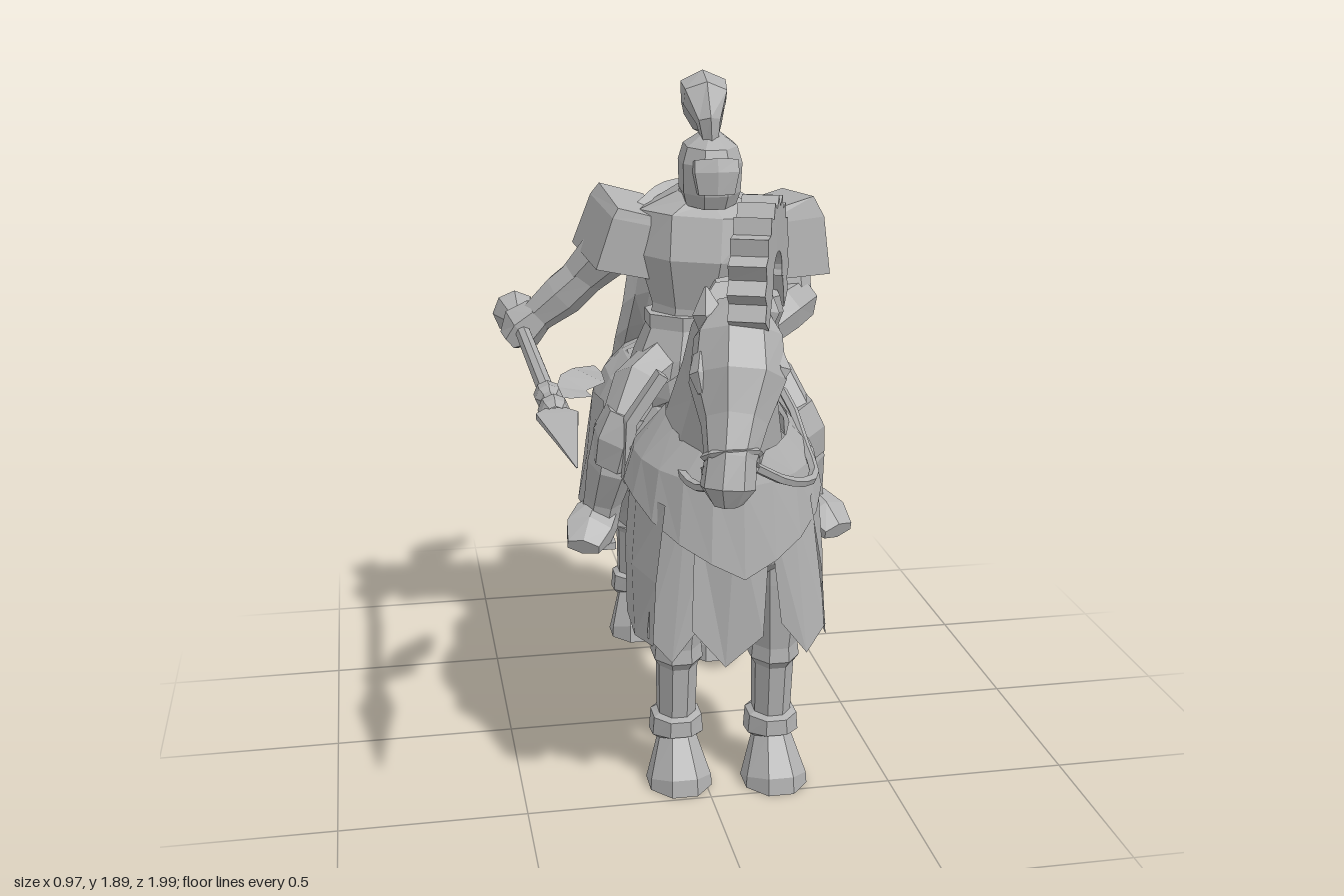
import * as THREE from 'three';

const steel = new THREE.MeshStandardMaterial({ color: 0xb2b2b2, side: THREE.DoubleSide });
steel.name = 'plain grey';
const V = (a) => new THREE.Vector3(a[0], a[1], a[2]);
const CX = 0.06; // the body axis sits slightly to the model's left

export function createModel() {
  const model = new THREE.Group();
  const horse = new THREE.Group(), rider = new THREE.Group(), spear = new THREE.Group();
  horse.name = 'horse'; rider.name = 'rider'; spear.name = 'spear';
  model.add(horse, rider, spear);

  // flat shaded mesh
  function add(parent, name, geo) {
    const g = geo.index ? geo.toNonIndexed() : geo;
    g.computeVertexNormals();
    const m = new THREE.Mesh(g, steel);
    m.name = name;
    parent.add(m);
    return m;
  }
  function indexed(pos, idx) {
    const g = new THREE.BufferGeometry();
    g.setAttribute('position', new THREE.Float32BufferAttribute(pos, 3));
    g.setIndex(idx);
    return g;
  }
  // closed faceted tube through [x, y, z, halfWidth, halfDepth]; width runs along "side"
  function loft(parent, name, pts, n = 8, side = [1, 0, 0]) {
    const pos = [], idx = [], k = 1 / Math.cos(Math.PI / n), last = pts.length - 1;
    pts.forEach((p, i) => {
      const t = V(pts[Math.min(i + 1, last)]).sub(V(pts[Math.max(i - 1, 0)])).normalize();
      const s = V(side).addScaledVector(t, -V(side).dot(t)).normalize();
      const u = t.clone().cross(s);
      for (let j = 0; j < n; j++) {
        const a = ((j + 0.5) / n) * Math.PI * 2;
        const q = V(p).addScaledVector(s, Math.cos(a) * p[3] * k).addScaledVector(u, Math.sin(a) * p[4] * k);
        pos.push(q.x, Math.max(0, q.y), q.z);
        const a0 = i * n + j, b0 = i * n + (j + 1) % n;
        if (i < last) idx.push(a0, b0, b0 + n, a0, b0 + n, a0 + n);
      }
    });
    for (let j = 1; j < n - 1; j++) idx.push(0, j + 1, j, last * n, last * n + j, last * n + j + 1);
    return add(parent, name, indexed(pos, idx));
  }
  // open cloth between rows of points
  function sheet(parent, name, rows) {
    const w = rows[0].length, idx = [];
    for (let r = 0; r < rows.length - 1; r++) for (let c = 0; c < w - 1; c++) {
      const a = r * w + c;
      idx.push(a, a + w, a + w + 1, a, a + w + 1, a + 1);
    }
    return add(parent, name, indexed(rows.flat(2), idx));
  }
  const tube = (parent, name, pts, r, seg = 14) =>
    add(parent, name, new THREE.TubeGeometry(new THREE.CatmullRomCurve3(pts.map(V)), seg, r, 5));
  const off = (s, rows) => rows.map((r) => r.map(([x, y, z]) => [CX + s * x, y, z]));

  // ---------- horse body, neck and head
  loft(horse, 'body', [
    [CX, 0.87, -0.67, 0.07, 0.08], [CX, 0.86, -0.6, 0.17, 0.17], [CX, 0.84, -0.45, 0.23, 0.22],
    [CX, 0.81, -0.25, 0.23, 0.235], [CX, 0.78, 0, 0.2, 0.225], [CX, 0.77, 0.2, 0.2, 0.22],
    [CX, 0.81, 0.4, 0.21, 0.23], [CX, 0.84, 0.52, 0.15, 0.18], [CX, 0.85, 0.58, 0.07, 0.1]], 10);
  loft(horse, 'neck', [
    [0.06, 0.9, 0.34, 0.17, 0.24], [0.05, 1.02, 0.39, 0.14, 0.2], [0.045, 1.18, 0.48, 0.11, 0.165],
    [0.035, 1.3, 0.56, 0.095, 0.14], [0.02, 1.38, 0.63, 0.07, 0.1]]);
  loft(horse, 'head', [
    [0.03, 1.41, 0.65, 0.055, 0.06], [0.02, 1.34, 0.69, 0.1, 0.105], [0.01, 1.24, 0.735, 0.11, 0.125],
    [-0.01, 1.15, 0.8, 0.075, 0.09], [-0.03, 1.08, 0.85, 0.058, 0.068], [-0.04, 1.02, 0.87, 0.062, 0.065],
    [-0.04, 0.98, 0.87, 0.035, 0.035]]);
  for (const s of [-1, 1]) {
    loft(horse, 'ear', [[0.02 + s * 0.055, 1.36, 0.67, 0.03, 0.025], [0.02 + s * 0.07, 1.4, 0.675, 0.032, 0.025],
      [0.02 + s * 0.075, 1.46, 0.67, 0.003, 0.003]], 5);
    loft(horse, 'brow', [[0.01 + s * 0.09, 1.31, 0.74, 0.015, 0.02], [0.01 + s * 0.1, 1.27, 0.77, 0.02, 0.025],
      [s * 0.085, 1.23, 0.79, 0.01, 0.01]], 5);
  }

  // serrated crest curling over the poll, running down as the mane
  const crest = [];
  for (let i = 0; i <= 26; i++) {
    const a = -0.5 + (i / 26) * 4.2, tooth = i % 2 ? 0.008 : -0.006;
    const z = 0.63 + (0.135 + tooth) * Math.cos(a);
    crest.push([0.02 + (0.8 - z) * 0.38, 1.475 + (0.118 + tooth) * Math.sin(a), z, 0.045, 0.06 + tooth]);
  }
  loft(horse, 'crest', crest, 4, [0.93, 0, 0.36]);
  const mane = [];
  for (let i = 0; i <= 6; i++) {
    const f = i / 6, tooth = i % 2 ? 0.01 : 0;
    mane.push([0.08 - 0.02 * f, 1.42 - 0.24 * f, 0.52 - 0.06 * f, 0.075 + tooth + 0.03 * f, 0.07 - 0.03 * f + tooth]);
  }
  loft(horse, 'mane', mane, 6);

  loft(horse, 'tail', [
    [0.06, 0.94, -0.58, 0.05, 0.05], [0.05, 0.93, -0.7, 0.065, 0.06], [0.035, 0.85, -0.8, 0.08, 0.08],
    [0.02, 0.7, -0.85, 0.08, 0.08], [-0.02, 0.52, -0.86, 0.075, 0.07], [-0.08, 0.41, -0.9, 0.055, 0.055],
    [-0.13, 0.365, -0.96, 0.035, 0.028], [-0.16, 0.37, -1.0, 0.004, 0.004]], 7);

  // ---------- horse legs with cuffed boots and hooves
  const shin = (x, z, dz) => [[x, 0.41, z, 0.062, 0.082], [x, 0.37, z, 0.066, 0.085], [x, 0.35, z, 0.053, 0.066],
    [x, 0.2, z - 0.01, 0.05, 0.058], [x, 0.19, z - 0.01, 0.066, 0.078], [x, 0.135, z - 0.01, 0.07, 0.08],
    [x, 0.12, z, 0.052, 0.06], [x, 0.02, z + dz, 0.083, 0.098], [x, 0, z + dz, 0.085, 0.1]];
  for (const [x, z] of [[0.19, 0.39], [-0.07, 0.355]])
    loft(horse, 'foreleg', [[x, 0.78, z - 0.02, 0.1, 0.15], [x, 0.6, z, 0.085, 0.11], ...shin(x, z, 0.035)]);
  for (const [x, z] of [[0.19, -0.5], [-0.025, -0.69]])
    loft(horse, 'hindLeg', [[x, 0.86, z + 0.2, 0.1, 0.16], [x, 0.66, z + 0.12, 0.1, 0.13],
      [x, 0.51, z + 0.075, 0.075, 0.08], ...shin(x, z, 0.045)]);

  // ---------- horse cloths
  const bib = [[], [], []];
  for (let i = 0; i <= 12; i++) {
    const a = ((i - 6) / 6) * 1.95, c = Math.cos(a), s = Math.sin(a), f = Math.max(0, 1 - Math.abs(a) / 1.4);
    bib[0].push([CX + 0.16 * s, 1.0 + 0.05 * (1 - c), 0.38 + 0.2 * c]);
    bib[1].push([CX + 0.24 * s, 0.95 - 0.03 * f, 0.33 + 0.27 * c]);
    bib[2].push([CX + 0.265 * s, 0.86 - 0.18 * f, 0.32 + 0.305 * c]);
  }
  sheet(horse, 'chestBib', bib);
  sheet(horse, 'chestPanel', off(1, [
    [[-0.12, 0.86, 0.57], [-0.02, 0.86, 0.6], [0.08, 0.86, 0.57]], [[-0.13, 0.53, 0.58], [-0.04, 0.42, 0.58], [0.06, 0.5, 0.58]]]));
  for (const s of [-1, 1]) {
    sheet(horse, 'shoulderPanel', off(s, [
      [[0.07, 0.86, 0.57], [0.14, 0.86, 0.55], [0.2, 0.86, 0.5]], [[0.11, 0.53, 0.57], [0.18, 0.44, 0.57], [0.24, 0.5, 0.53]]]));
    sheet(horse, 'foreSidePanel', off(s, [
      [[0.19, 0.86, 0.53], [0.245, 0.86, 0.4], [0.23, 0.87, 0.22]], [[0.22, 0.66, 0.56], [0.26, 0.66, 0.41], [0.25, 0.66, 0.23]],
      [[0.23, 0.49, 0.57], [0.255, 0.46, 0.42], [0.25, 0.46, 0.25]]]));
    sheet(horse, 'hindSidePanel', off(s, [
      [[0.24, 0.92, -0.24], [0.25, 0.9, -0.42], [0.2, 0.9, -0.62]], [[0.25, 0.72, -0.25], [0.27, 0.7, -0.42], [0.25, 0.68, -0.61]],
      [[0.255, 0.55, -0.27], [0.28, 0.52, -0.42], [0.28, 0.5, -0.58]]]));
  }
  sheet(horse, 'rumpCloth', [[-0.2, 0.82, 0.235, 0.23], [-0.33, 0.83, 0.255, 0.235], [-0.47, 0.84, 0.25, 0.22],
    [-0.6, 0.86, 0.2, 0.18], [-0.67, 0.87, 0.11, 0.1]].map(([z, y, w, h]) =>
    Array.from({ length: 11 }, (_, i) => {
      const a = ((i - 5) / 5) * 1.6;
      return [CX + w * Math.sin(a), y + h * Math.cos(a), z];
    })));

  // ---------- saddle, girth and reins
  loft(horse, 'saddleBlanket', [[CX, 0.83, -0.2, 0.235, 0.205], [CX, 0.85, 0, 0.225, 0.17], [CX, 0.85, 0.2, 0.225, 0.165]], 10);
  loft(horse, 'saddle', [[CX, 1.06, -0.27, 0.12, 0.06], [CX, 1.0, -0.2, 0.16, 0.07], [CX, 0.99, 0.03, 0.16, 0.06],
    [CX, 1.05, 0.14, 0.11, 0.07], [CX, 1.11, 0.17, 0.05, 0.03]]);
  for (const s of [-1, 1])
    loft(horse, 'girthStrap', [[CX + s * 0.13, 1.1, 0.14, 0.015, 0.025], [CX + s * 0.22, 0.97, 0.14, 0.015, 0.028],
      [CX + s * 0.23, 0.8, 0.14, 0.012, 0.028]], 4);
  for (const [s, w] of [[-1, 0.15], [1, 0.2]])
    tube(horse, 'rein', [[-0.03 + s * 0.06, 1.06, 0.85], [0.03 + s * w * 0.55, 0.98, 0.74], [0.06 + s * w * 0.9, 0.94, 0.6],
      [0.06 + s * w, 0.97, 0.42], [0.07 + s * w * 0.8, 1.08, 0.28], [0.09, 1.17, 0.2]], 0.013);
  const band = add(horse, 'noseband', new THREE.TorusGeometry(0.068, 0.009, 4, 10));
  band.position.set(-0.025, 1.09, 0.843);
  band.rotation.x = 1.1;

  // ---------- rider torso, head and plume
  loft(rider, 'armourSkirt', [[0.07, 1.22, -0.11, 0.12, 0.1], [0.07, 1.1, -0.11, 0.17, 0.14], [0.07, 0.98, -0.11, 0.21, 0.15]]);
  loft(rider, 'torso', [[0.07, 1.16, -0.11, 0.125, 0.1], [0.075, 1.24, -0.11, 0.125, 0.1], [0.08, 1.38, -0.1, 0.17, 0.13],
    [0.085, 1.5, -0.11, 0.17, 0.11], [0.09, 1.56, -0.1, 0.07, 0.07], [0.095, 1.6, -0.08, 0.055, 0.06]], 8, [0.96, 0, 0.28]);
  loft(rider, 'belt', [[0.07, 1.18, -0.11, 0.14, 0.115], [0.07, 1.22, -0.11, 0.14, 0.115]], 8);
  loft(rider, 'helmet', [[0.1, 1.535, -0.07, 0.07, 0.08], [0.1, 1.57, -0.065, 0.08, 0.095], [0.1, 1.65, -0.06, 0.083, 0.1],
    [0.1, 1.695, -0.06, 0.07, 0.085], [0.1, 1.725, -0.055, 0.03, 0.04]]);
  loft(rider, 'visor', [[0.1, 1.66, 0.015, 0.06, 0.03], [0.1, 1.63, 0.025, 0.062, 0.03], [0.1, 1.57, 0.025, 0.05, 0.025]], 6);
  loft(rider, 'plume', [[0.095, 1.7, -0.035, 0.02, 0.025], [0.09, 1.76, -0.035, 0.03, 0.035], [0.09, 1.82, -0.08, 0.058, 0.045],
    [0.1, 1.83, -0.16, 0.063, 0.05], [0.115, 1.785, -0.24, 0.058, 0.045], [0.135, 1.73, -0.29, 0.042, 0.035],
    [0.16, 1.695, -0.35, 0.025, 0.018], [0.175, 1.69, -0.4, 0.004, 0.004]], 6);

  // cape with folds, falling over the rump
  sheet(rider, 'cape', [[1.57, -0.17, 0.09], [1.53, -0.26, 0.16], [1.38, -0.32, 0.175], [1.22, -0.4, 0.185],
    [1.1, -0.49, 0.195], [1.0, -0.61, 0.19]].map(([y, z, w], r) =>
    Array.from({ length: 9 }, (_, i) => {
      const f = (i - 4) / 4;
      return [0.075 + w * f, y - 0.03 * f * f, z + 0.08 * f * f + (i % 2 ? -0.006 * r : 0)];
    })));
  tube(rider, 'capeRoll', [[-0.08, 1.49, -0.18], [0, 1.54, -0.22], [0.09, 1.55, -0.21], [0.18, 1.53, -0.17], [0.24, 1.49, -0.12]], 0.03);

  // ---------- rider arms and shoulder plates
  loft(rider, 'leftPauldron', [[0.275, 1.535, -0.045, 0.105, 0.08], [0.285, 1.495, -0.045, 0.115, 0.095], [0.288, 1.34, -0.045, 0.125, 0.108]], 4, [0.2, 0, 1]);
  loft(rider, 'rightPauldron', [[-0.105, 1.525, -0.17, 0.1, 0.07], [-0.115, 1.495, -0.175, 0.11, 0.08], [-0.155, 1.35, -0.19, 0.12, 0.09]], 4, [0.2, 0, 1]);
  loft(rider, 'leftUpperArm', [[0.26, 1.47, -0.06, 0.07, 0.07], [0.31, 1.34, -0.03, 0.07, 0.065], [0.32, 1.24, 0.01, 0.055, 0.055]], 7, [0, 0, 1]);
  loft(rider, 'leftForearm', [[0.34, 1.26, -0.01, 0.06, 0.06], [0.27, 1.25, 0.08, 0.065, 0.065], [0.18, 1.2, 0.15, 0.05, 0.05], [0.13, 1.18, 0.18, 0.04, 0.04]], 7, [0, 1, 0]);
  loft(rider, 'leftHand', [[0.14, 1.18, 0.17, 0.045, 0.045], [0.1, 1.17, 0.2, 0.05, 0.05], [0.06, 1.16, 0.22, 0.03, 0.03]], 6, [0, 1, 0]);
  loft(rider, 'rightUpperArm', [[-0.08, 1.47, -0.18, 0.07, 0.07], [-0.18, 1.36, -0.23, 0.07, 0.07], [-0.25, 1.28, -0.27, 0.055, 0.055]], 7, [0, 0, 1]);
  loft(rider, 'rightForearm', [[-0.22, 1.31, -0.25, 0.055, 0.055], [-0.29, 1.24, -0.28, 0.06, 0.06], [-0.37, 1.17, -0.3, 0.045, 0.045]], 7, [0, 0, 1]);
  loft(rider, 'rightHand', [[-0.36, 1.18, -0.3, 0.05, 0.045], [-0.41, 1.135, -0.31, 0.06, 0.06], [-0.45, 1.1, -0.31, 0.045, 0.03]], 6, [0, 0, 1]);

  // ---------- rider legs
  for (const s of [-1, 1]) {
    const leg = (name, pts, n, side) => loft(rider, name, pts.map(([x, ...r]) => [0.08 + s * x, ...r]), n, side);
    leg('thigh', [[0.1, 1.05, -0.1, 0.11, 0.08], [0.19, 1.01, -0.02, 0.1, 0.075], [0.24, 0.92, 0.04, 0.08, 0.065]], 7, [0, 0.7, 0.7]);
    leg('kneePlate', [[0.235, 0.97, 0.05, 0.055, 0.07], [0.26, 0.9, 0.05, 0.065, 0.08], [0.275, 0.83, 0.035, 0.055, 0.075]], 6);
    leg('shin', [[0.255, 0.92, 0.02, 0.06, 0.075], [0.275, 0.81, 0.01, 0.062, 0.09], [0.295, 0.7, -0.02, 0.05, 0.065], [0.305, 0.63, -0.03, 0.05, 0.06]], 7);
    leg('foot', [[0.29, 0.635, -0.1, 0.045, 0.045], [0.31, 0.64, -0.03, 0.06, 0.055], [0.345, 0.62, 0.04, 0.065, 0.045], [0.37, 0.595, 0.1, 0.045, 0.022]], 6);
    leg('stirrup', [[0.27, 0.575, 0.02, 0.035, 0.01], [0.36, 0.575, 0.02, 0.035, 0.01]], 4, [0, 0, 1]);
  }

  // ---------- spear: one turned profile from the mace head to the socket, then a blade and a torn pennant
  const profile = [[0, -0.62], [0.02, -0.59], [0.022, -0.56], [0.068, -0.53], [0.064, -0.51], [0.036, -0.43], [0.044, -0.41],
    [0.038, -0.38], [0.023, -0.37], [0.023, 0.36], [0.036, 0.38], [0.036, 0.42], [0.024, 0.44], [0.026, 0.5], [0.04, 0.52],
    [0.036, 0.55], [0.022, 0.57]].map(([r, y]) => new THREE.Vector2(r, y));
  const shaft = add(spear, 'shaft', new THREE.LatheGeometry(profile, 8));
  shaft.rotation.x = Math.PI / 2;
  loft(spear, 'spearBlade', [[0, 0, 0.56, 0.025, 0.015], [0, 0, 0.6, 0.052, 0.015], [0, 0, 0.8, 0.026, 0.01], [0, 0, 0.99, 0.002, 0.002]], 4);
  sheet(spear, 'pennant', [
    [[0.02, 0, 0.42], [0.03, 0, 0.32], [0.05, 0.01, 0.24], [0.09, 0.01, 0.18], [0.16, -0.01, 0.09]],
    [[0.06, -0.01, 0.4], [0.12, -0.02, 0.36], [0.11, -0.02, 0.3], [0.17, -0.02, 0.23], [0.18, -0.03, 0.09]]]);
  spear.position.set(-0.41, 1.13, 0);
  return model;
}
